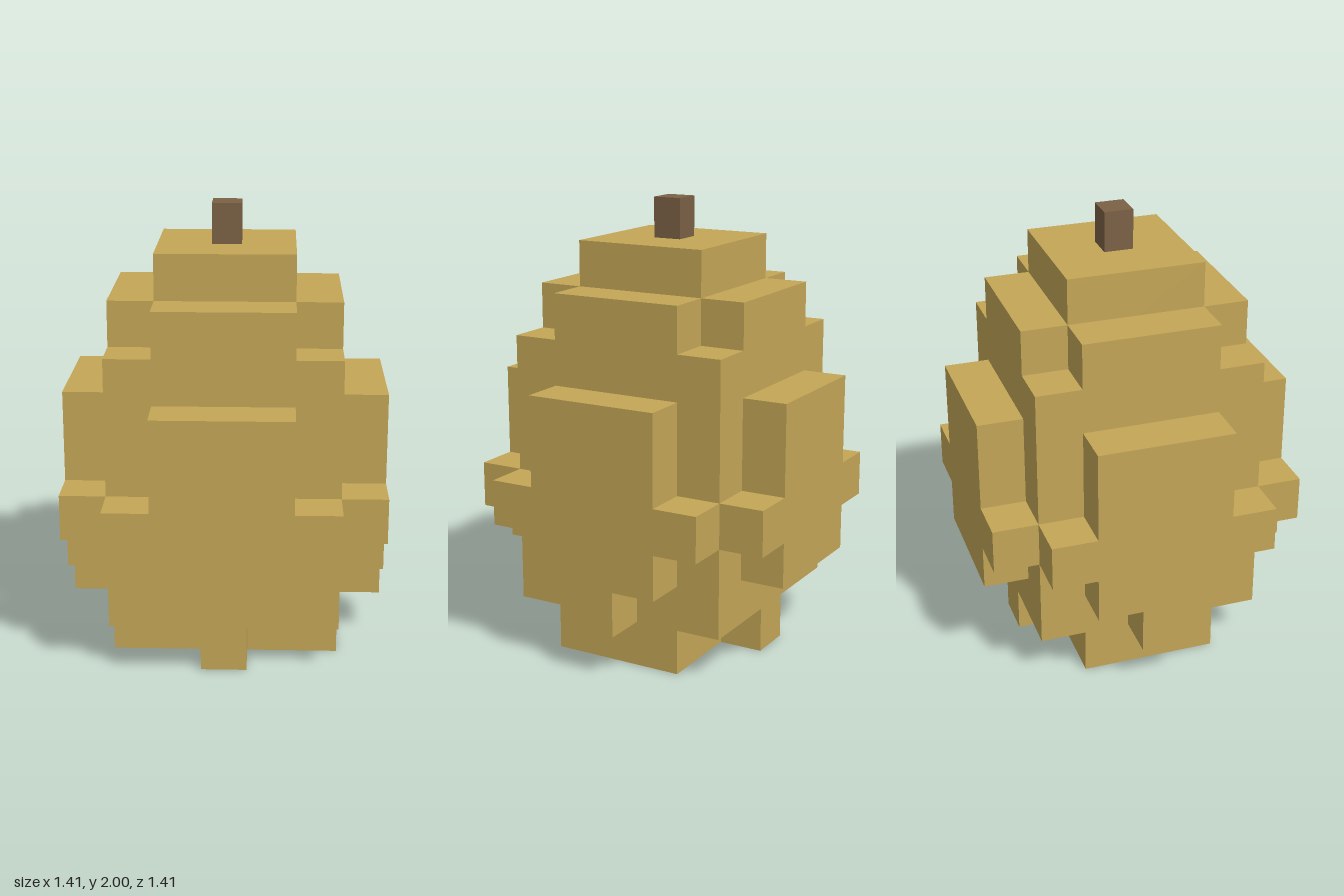
import * as THREE from 'three';

const U = 0.2015; // block width
const V = 0.2024; // block height

export function createModel() {
  const model = new THREE.Group();
  const skin = new THREE.MeshStandardMaterial({ color: 0xc4a657 });
  skin.name = 'golden skin';
  const bark = new THREE.MeshStandardMaterial({ color: 0x7b6145 });
  bark.name = 'brown stem';

  // box between block coordinates: x0..x1, y0..y1, z0..z1
  function block(parent, name, x0, x1, y0, y1, z0, z1, material = skin) {
    const geometry = new THREE.BoxGeometry((x1 - x0) * U, (y1 - y0) * V, (z1 - z0) * U);
    const mesh = new THREE.Mesh(geometry, material);
    mesh.position.set((x0 + x1) / 2 * U, (y0 + y1) / 2 * V, (z0 + z1) / 2 * U);
    mesh.name = name;
    parent.add(mesh);
  }

  // stacked body
  block(model, 'base', -2.5, 2.5, 0, 1, -1.5, 1.5);
  block(model, 'body', -2.5, 2.5, 1, 7, -2.5, 2.5);
  block(model, 'crown', -1.5, 1.5, 7, 9, -1.5, 1.5);

  // four sides: raised panel with a band, and a shoulder above
  const sideNames = ['front', 'left', 'back', 'right'];
  sideNames.forEach((name, i) => {
    const side = new THREE.Group();
    side.name = name + 'Side';
    side.rotation.y = i * Math.PI / 2;
    block(side, 'panel', -1.5, 1.5, 2, 6, 2.5, 3.5);
    block(side, 'bandEndA', -2.5, -1.5, 3, 4, 2.5, 3.5);
    block(side, 'bandEndB', 1.5, 2.5, 3, 4, 2.5, 3.5);
    block(side, 'shoulder', -1.5, 1.5, 7, 8, 1.5, 2.5);
    // front and back tabs reach the ground, side tabs hang below the panels
    if (i % 2 === 0) block(side, 'footTab', -0.5, 0.5, 0, 1, 1.5, 2.5);
    else block(side, 'panelTab', -0.5, 0.5, 1, 2, 2.5, 3.5);
    model.add(side);
  });

  // stem
  block(model, 'stem', -0.32, 0.32, 9, 2 / V, -0.32, 0.32, bark);
  return model;
}
